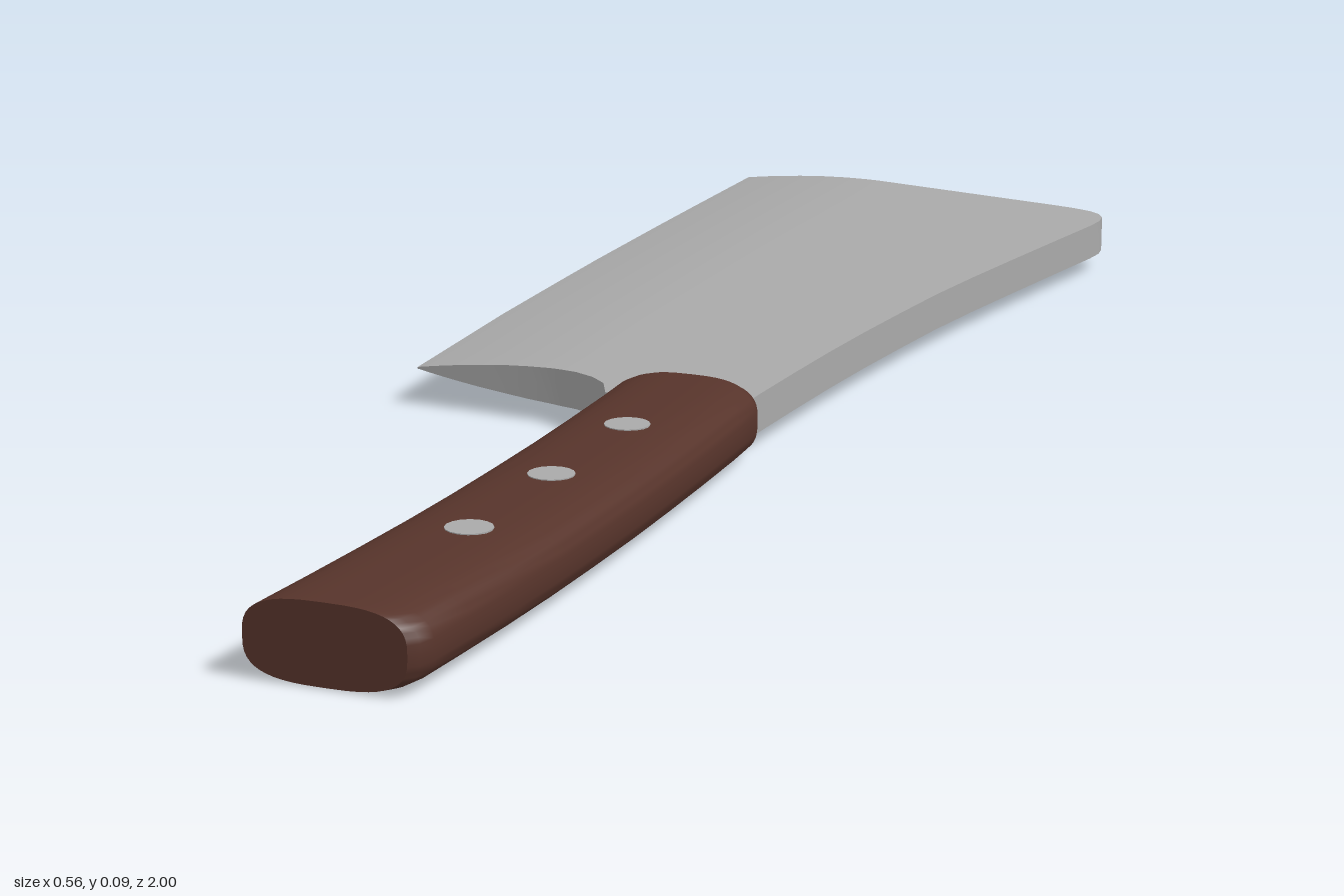
import * as THREE from 'three';
import { toCreasedNormals } from 'three/addons/utils/BufferGeometryUtils.js';

const MID_Y = 0.0435;
const { lerp } = THREE.MathUtils;

// Piecewise-linear lookup in a list of [key, value]
function lookup(table, k) {
  for (let i = 1; i < table.length; i++) {
    const [k0, v0] = table[i - 1], [k1, v1] = table[i];
    if (k <= k1) return lerp(v0, v1, Math.max(0, (k - k0) / (k1 - k0)));
  }
  return table[table.length - 1][1];
}

// Skin rows of {x, z, h}: each row is a section, h its half thickness
function loft(rows, crease) {
  const n = rows[0].length, ring = n * 2, pos = [], idx = [];
  for (const row of rows) {
    for (const p of row) pos.push(p.x, MID_Y + p.h, p.z);
    for (const p of [...row].reverse()) pos.push(p.x, MID_Y - p.h, p.z);
  }
  for (let r = 0; r < rows.length - 1; r++) {
    for (let i = 0; i < ring; i++) {
      const a = r * ring + i, b = r * ring + (i + 1) % ring;
      idx.push(a, a + ring, b, b, a + ring, b + ring);
    }
  }
  const last = (rows.length - 1) * ring;
  for (let i = 0; i < n - 1; i++) {
    const t = i, t1 = i + 1, b = ring - 1 - i, b1 = ring - 2 - i;
    idx.push(last + b, last + b1, last + t, last + b1, last + t1, last + t);
    idx.push(b, t, b1, b1, t, t1);
  }
  const g = new THREE.BufferGeometry();
  g.setAttribute('position', new THREE.Float32BufferAttribute(pos, 3));
  g.setIndex(idx);
  return toCreasedNormals(g, crease);
}

function bladeGeometry() {
  // Spine as [z, x], from the rounded tip corner to the handle
  const spine = [[-0.916, 0.19], [-0.909, 0.222], [-0.9, 0.248], [-0.888, 0.264],
    [-0.872, 0.273], [-0.85, 0.276], [-0.82, 0.273], [-0.72, 0.256], [-0.6, 0.236],
    [-0.5, 0.22], [-0.4, 0.206], [-0.3, 0.196], [-0.2, 0.187], [-0.1, 0.18],
    [0, 0.175], [0.1, 0.171], [0.16, 0.17]];
  // Slightly bowed cutting edge as [v, x]
  const edge = [[0, -0.275], [0.25, -0.279], [0.5, -0.28], [0.75, -0.276], [1, -0.265]];
  // Heel curve as [u, z]
  const heel = [[0, 0.075], [0.26, 0.081], [0.4, 0.087], [0.48, 0.094], [0.54, 0.106],
    [0.59, 0.125], [0.63, 0.16], [1, 0.16]];
  const us = [0, 0.03, 0.07, 0.12, 0.18, 0.26, 0.33, 0.4, 0.44, 0.48, 0.51, 0.54,
    0.565, 0.59, 0.61, 0.63, 0.8, 1];
  const z0 = spine[0][0], z1 = spine[spine.length - 1][0];
  return loft(spine.map(([z, xr]) => {
    const v = (z - z0) / (z1 - z0), xl = lookup(edge, v);
    return us.map((u) => {
      const x = lerp(xl, xr, u);
      const t = Math.min(1, (x - xl) / 0.21);
      return {
        x,
        z: lerp(lerp(-1, z0, u), lookup(heel, u), v),
        h: 0.001 + 0.021 * (1 - Math.pow(1 - t, 1.8)),
      };
    });
  }), 0.6);
}

function handleGeometry() {
  // Sections as [z, left x, right x]
  const sections = [[0.121, 0.02, 0.172], [0.126, 0.013, 0.179], [0.14, 0.009, 0.184],
    [0.2, 0.012, 0.188], [0.3, 0.015, 0.192], [0.4, 0.017, 0.195], [0.5, 0.017, 0.197],
    [0.6, 0.016, 0.197], [0.7, 0.013, 0.196], [0.8, 0.008, 0.193], [0.9, 0.002, 0.188],
    [0.97, -0.003, 0.184], [0.99, -0.004, 0.179], [1, -0.004, 0.17]];
  const steps = 24, power = 2 / 3;
  return loft(sections.map(([z, xl, xr]) => Array.from({ length: steps + 1 }, (_, i) => {
    const a = (i / steps) * Math.PI, c = -Math.cos(a);
    return {
      x: (xl + xr) / 2 + ((xr - xl) / 2) * Math.sign(c) * Math.pow(Math.abs(c), power),
      z,
      h: 0.0425 * Math.pow(Math.max(0, Math.sin(a)), power),
    };
  })), 0.7);
}

export function createModel() {
  const steel = new THREE.MeshStandardMaterial({ color: 0xaaaaaa });
  steel.name = 'steel';
  const wood = new THREE.MeshStandardMaterial({ color: 0x57342b });
  wood.name = 'darkWood';

  const model = new THREE.Group();
  model.name = 'cleaver';
  const add = (name, geometry, material) => {
    const mesh = new THREE.Mesh(geometry, material);
    mesh.name = name;
    model.add(mesh);
    return mesh;
  };

  add('blade', bladeGeometry(), steel);
  add('handle', handleGeometry(), wood);

  // Rivets run right through the handle and show on both faces
  [0.335, 0.535, 0.735].forEach((z, i) => {
    add(`rivet${i + 1}`, new THREE.CylinderGeometry(0.025, 0.025, 0.087, 16), steel)
      .position.set(0.11, MID_Y, z);
  });
  return model;
}
